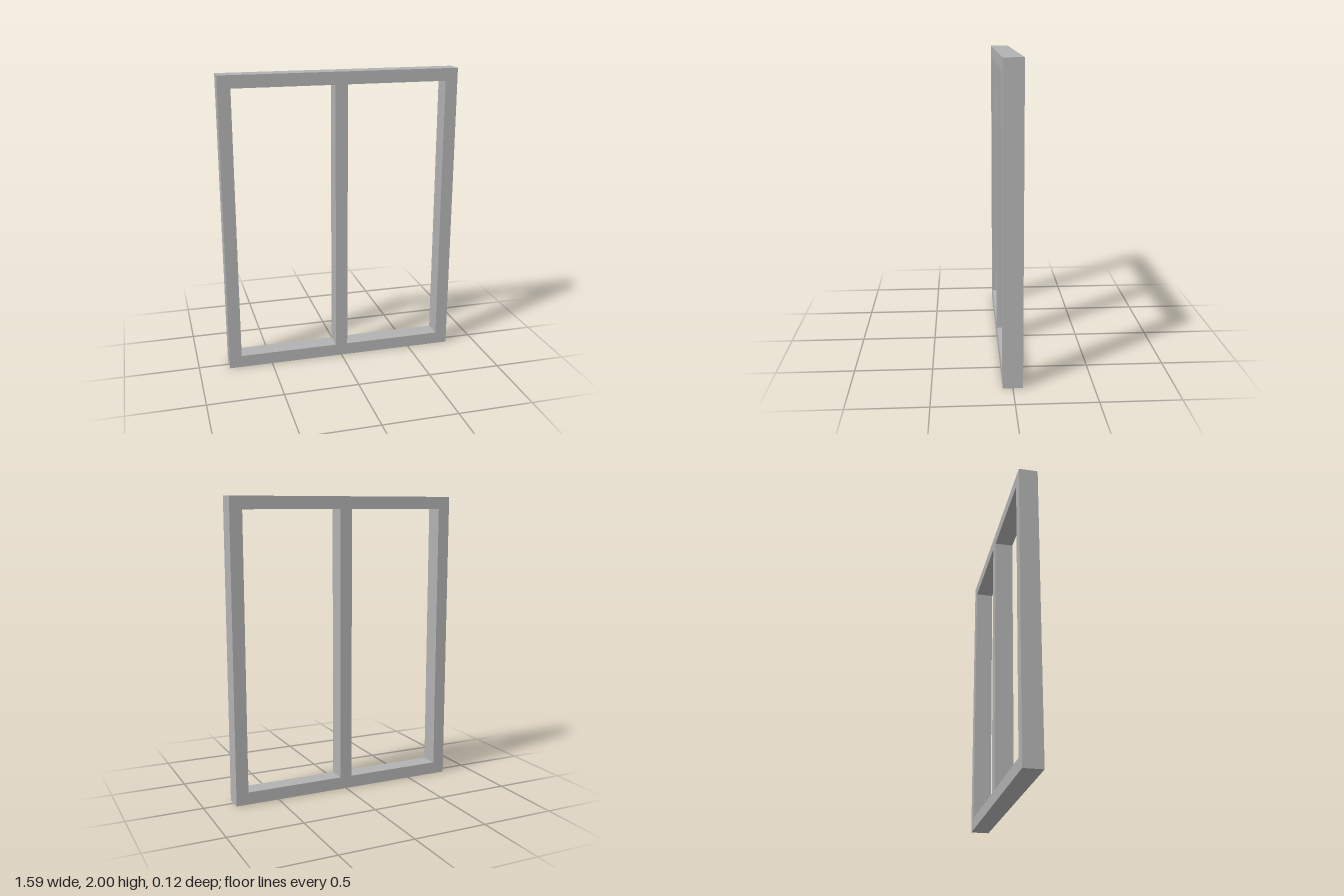
import * as THREE from 'three';

const WIDTH = 1.59, HEIGHT = 2, DEPTH = 0.125, BAR = 0.083;

// Closed rectangle outline, centred on x = 0
function rectangle(path, halfWidth, bottom, top) {
  path.moveTo(-halfWidth, bottom);
  path.lineTo(halfWidth, bottom);
  path.lineTo(halfWidth, top);
  path.lineTo(-halfWidth, top);
  path.closePath();
  return path;
}

export function createModel() {
  const group = new THREE.Group();
  group.name = 'windowFrame';

  const frameGrey = new THREE.MeshStandardMaterial({ color: 0xb2b2b2 });
  frameGrey.name = 'frameGrey';

  // Outer frame: one seamless surround with square corners
  const outline = rectangle(new THREE.Shape(), WIDTH / 2, 0, HEIGHT);
  outline.holes.push(rectangle(new THREE.Path(), WIDTH / 2 - BAR, BAR, HEIGHT - BAR));
  const surround = new THREE.ExtrudeGeometry(outline, { depth: DEPTH, bevelEnabled: false });
  surround.translate(0, 0, -DEPTH / 2);
  const outerFrame = new THREE.Mesh(surround, frameGrey);
  outerFrame.name = 'outerFrame';
  group.add(outerFrame);

  // Centre mullion: upright bar between the bottom and top rails
  const mullion = new THREE.Mesh(new THREE.BoxGeometry(BAR, HEIGHT - 2 * BAR, DEPTH), frameGrey);
  mullion.name = 'centreMullion';
  mullion.position.y = HEIGHT / 2;
  group.add(mullion);

  return group;
}
